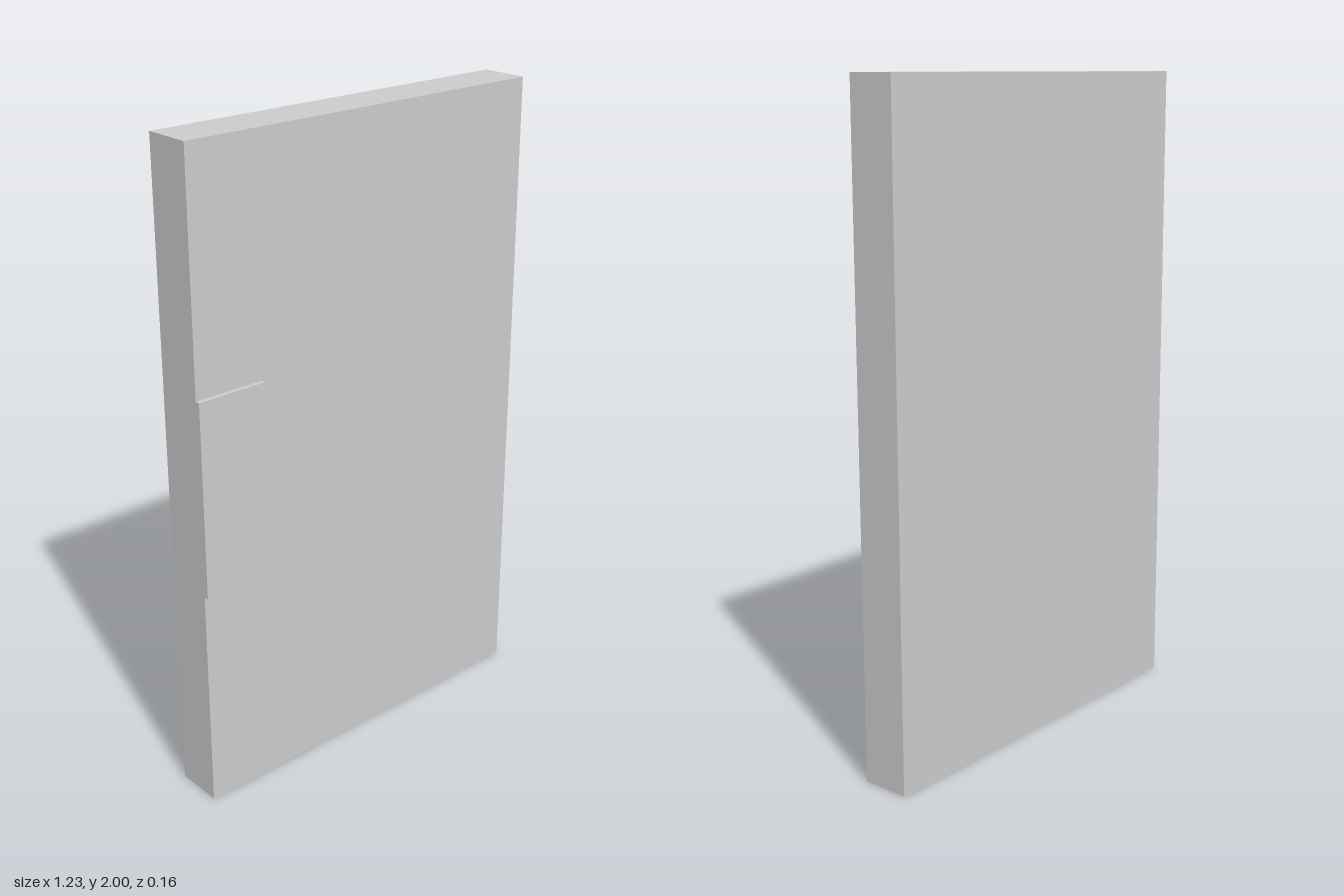
import * as THREE from 'three';

export function createModel() {
  const group = new THREE.Group();
  const material = new THREE.MeshStandardMaterial({ color: 0xcccccc });

  // Box placed by its lower and upper corners
  const addBox = (name, min, max) => {
    const size = max.map((v, i) => v - min[i]);
    const mesh = new THREE.Mesh(new THREE.BoxGeometry(...size), material);
    mesh.position.set(...max.map((v, i) => (v + min[i]) / 2));
    mesh.name = name;
    group.add(mesh);
  };

  // Door slab
  addBox('doorPanel', [-0.617, 0, -0.082], [0.617, 2, 0.067]);
  // Thin push plate on the front, flush with the edge of the door
  addBox('pushPlate', [-0.617, 0.7, 0.067], [-0.39, 1.3, 0.082]);

  return group;
}
